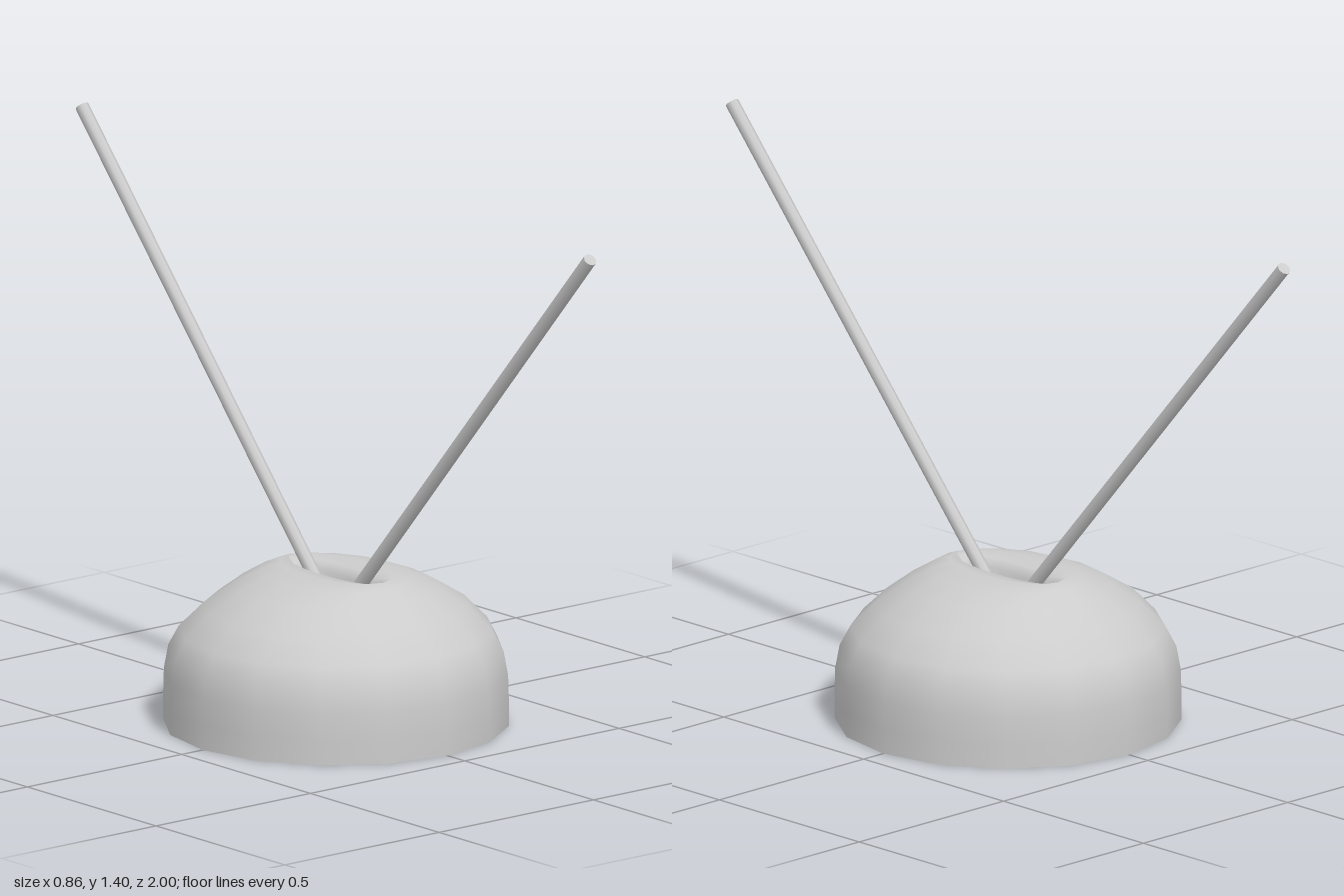
import * as THREE from 'three';

const SIDES = 16;

// Lofts elliptical rings [radiusX, radiusZ, y] and closes the last one
function loft(rings) {
  const pos = [], idx = [];
  for (const [rx, rz, y] of rings) {
    for (let i = 0; i < SIDES; i++) {
      const a = (i / SIDES) * Math.PI * 2;
      pos.push(rx * Math.cos(a), y, rz * Math.sin(a));
    }
  }
  for (let r = 0; r < rings.length - 1; r++) {
    for (let i = 0; i < SIDES; i++) {
      const j = (i + 1) % SIDES;
      const a = r * SIDES + i, b = r * SIDES + j;
      idx.push(a, a + SIDES, b, b, a + SIDES, b + SIDES);
    }
  }
  const last = (rings.length - 1) * SIDES, centre = pos.length / 3;
  pos.push(0, rings[rings.length - 1][2], 0);
  for (let i = 0; i < SIDES; i++) idx.push(last + i, centre, last + ((i + 1) % SIDES));
  const geo = new THREE.BufferGeometry();
  geo.setAttribute('position', new THREE.Float32BufferAttribute(pos, 3));
  geo.setIndex(idx);
  geo.computeVertexNormals();
  return geo;
}

export function createModel() {
  const group = new THREE.Group();
  const material = new THREE.MeshStandardMaterial({ color: 0xcccccc });
  const shellMaterial = new THREE.MeshStandardMaterial({ color: 0xcccccc, side: THREE.DoubleSide });

  // Hollow dome, open below, folding into a narrow slot at the top
  const dome = new THREE.Mesh(loft([
    [0.432, 0.432, 0],
    [0.432, 0.432, 0.06],
    [0.43, 0.43, 0.13],
    [0.42, 0.418, 0.19],
    [0.395, 0.39, 0.24],
    [0.335, 0.325, 0.302],
    [0.25, 0.26, 0.353],
    [0.17, 0.212, 0.384],
    [0.1, 0.185, 0.395],
    [0.05, 0.175, 0.388],
    [0.032, 0.16, 0.368],
    [0.027, 0.11, 0.335],
    [0.025, 0.06, 0.315],
  ]), shellMaterial);
  dome.name = 'domeBase';
  group.add(dome);

  // Two rods leaning forward and back out of the slot
  for (const side of [1, -1]) {
    const foot = new THREE.Vector3(0, 0.315, side * 0.045);
    const tip = new THREE.Vector3(0, 1.386, side * 0.987);
    const dir = tip.clone().sub(foot);
    const rod = new THREE.Mesh(new THREE.CylinderGeometry(0.0175, 0.0175, dir.length(), 8), material);
    rod.position.copy(foot).add(tip).multiplyScalar(0.5);
    rod.quaternion.setFromUnitVectors(new THREE.Vector3(0, 1, 0), dir.normalize());
    rod.name = side > 0 ? 'frontRod' : 'backRod';
    group.add(rod);
  }
  return group;
}
